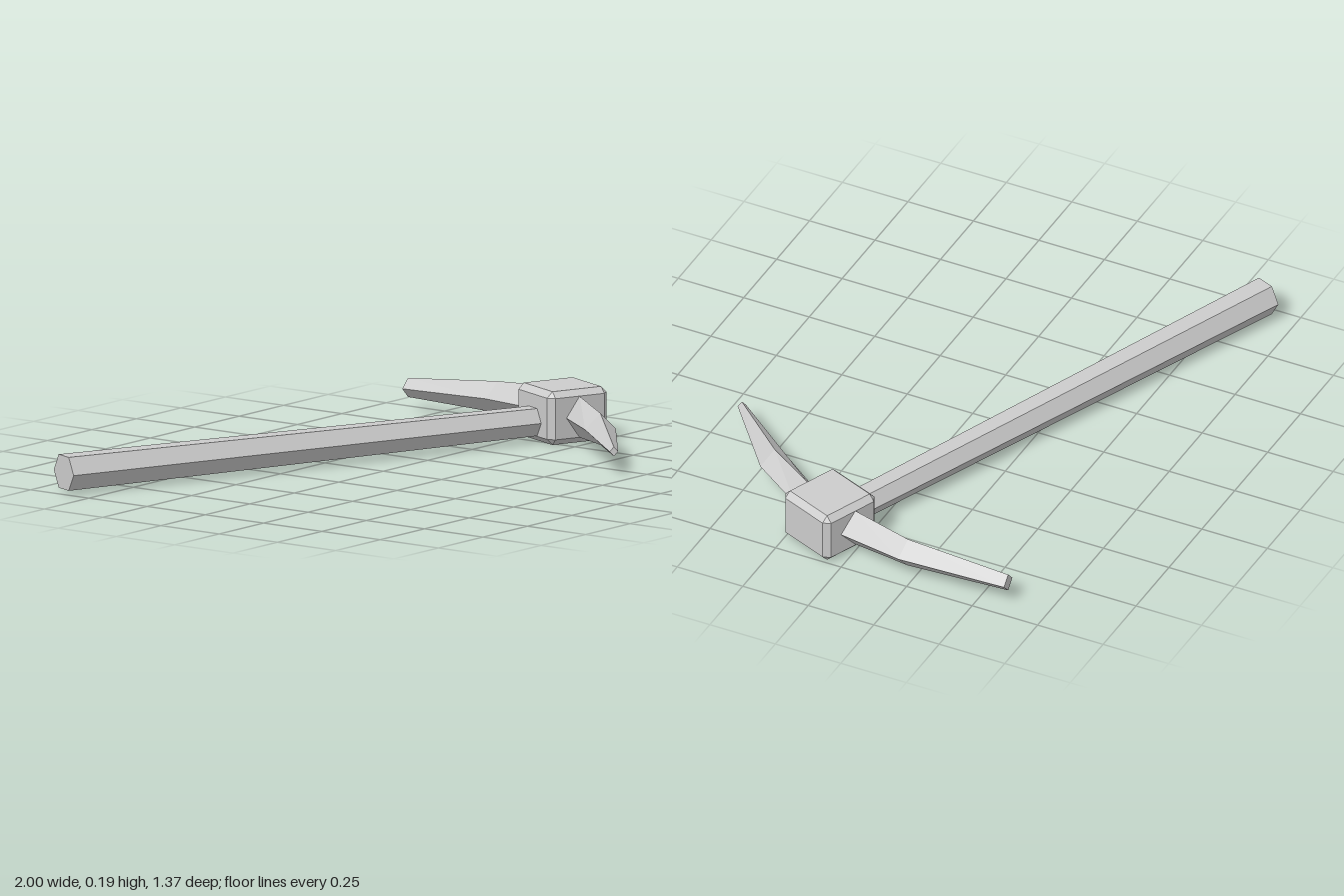
import * as THREE from 'three';
import { ConvexGeometry } from 'three/addons/geometries/ConvexGeometry.js';

const gray = new THREE.MeshStandardMaterial({ color: 0xcccccc });
gray.name = 'plain gray';

function faceted(geometry) {
  const g = geometry.index ? geometry.toNonIndexed() : geometry;
  g.computeVertexNormals();
  return g;
}

function part(name, geometry) {
  const mesh = new THREE.Mesh(geometry, gray);
  mesh.name = name;
  return mesh;
}

// Box with flat bevels on every edge and corner
function bevelledBox(hx, hy, hz, c) {
  const points = [];
  for (const x of [-1, 1]) for (const y of [-1, 1]) for (const z of [-1, 1]) {
    points.push(
      new THREE.Vector3(x * hx, y * (hy - c), z * (hz - c)),
      new THREE.Vector3(x * (hx - c), y * hy, z * (hz - c)),
      new THREE.Vector3(x * (hx - c), y * (hy - c), z * hz));
  }
  return new ConvexGeometry(points);
}

// Diamond sections joined into a spike: [x, y, z, sideX, sideZ, halfHeight]
function spike(sections) {
  const positions = [], index = [];
  for (const [x, y, z, sx, sz, h] of sections) {
    positions.push(x + sx, y, z + sz, x, y + h, z, x - sx, y, z - sz, x, y - h, z);
  }
  for (let s = 0; s < sections.length - 1; s++) {
    for (let i = 0; i < 4; i++) {
      const a = s * 4 + i, b = s * 4 + (i + 1) % 4;
      index.push(a, b, b + 4, a, b + 4, a + 4);
    }
  }
  const e = (sections.length - 1) * 4;
  index.push(0, 2, 1, 0, 3, 2, e, e + 1, e + 2, e, e + 2, e + 3);
  const g = new THREE.BufferGeometry();
  g.setAttribute('position', new THREE.Float32BufferAttribute(positions, 3));
  g.setIndex(index);
  return faceted(g);
}

export function createModel() {
  const model = new THREE.Group();
  model.name = 'pickaxe';
  const angle = -0.387;

  // Six-sided handle, slightly thinner towards the head
  const shaft = new THREE.CylinderGeometry(0.054, 0.067, 1.975, 6);
  shaft.rotateZ(-Math.PI / 2);
  const handle = part('handle', faceted(shaft));
  handle.rotation.y = angle;
  handle.position.set(-0.058, 0.071, -0.256);
  model.add(handle);

  // Bevelled block holding both spikes
  const head = part('headBlock', bevelledBox(0.1175, 0.0925, 0.1175, 0.021));
  head.rotation.y = angle;
  head.position.set(0.857, 0.0935, 0.115);
  model.add(head);

  // Long pointed spike
  model.add(part('frontSpike', spike([
    [0.84, 0.093, 0.165, 0.05, 0.021, 0.074],
    [0.81, 0.093, 0.225, 0.046, 0.022, 0.071],
    [0.673, 0.094, 0.418, 0.043, 0.033, 0.055],
    [0.415, 0.084, 0.673, 0.01, 0.011, 0.016],
  ])));

  // Blunt spike on the other side
  model.add(part('backSpike', spike([
    [0.872, 0.096, 0.06, -0.06, -0.024, 0.073],
    [0.89, 0.096, 0.0, -0.06, -0.022, 0.07],
    [0.933, 0.092, -0.222, -0.051, -0.012, 0.055],
    [0.925, 0.083, -0.6, -0.032, 0, 0.033],
  ])));

  return model;
}
